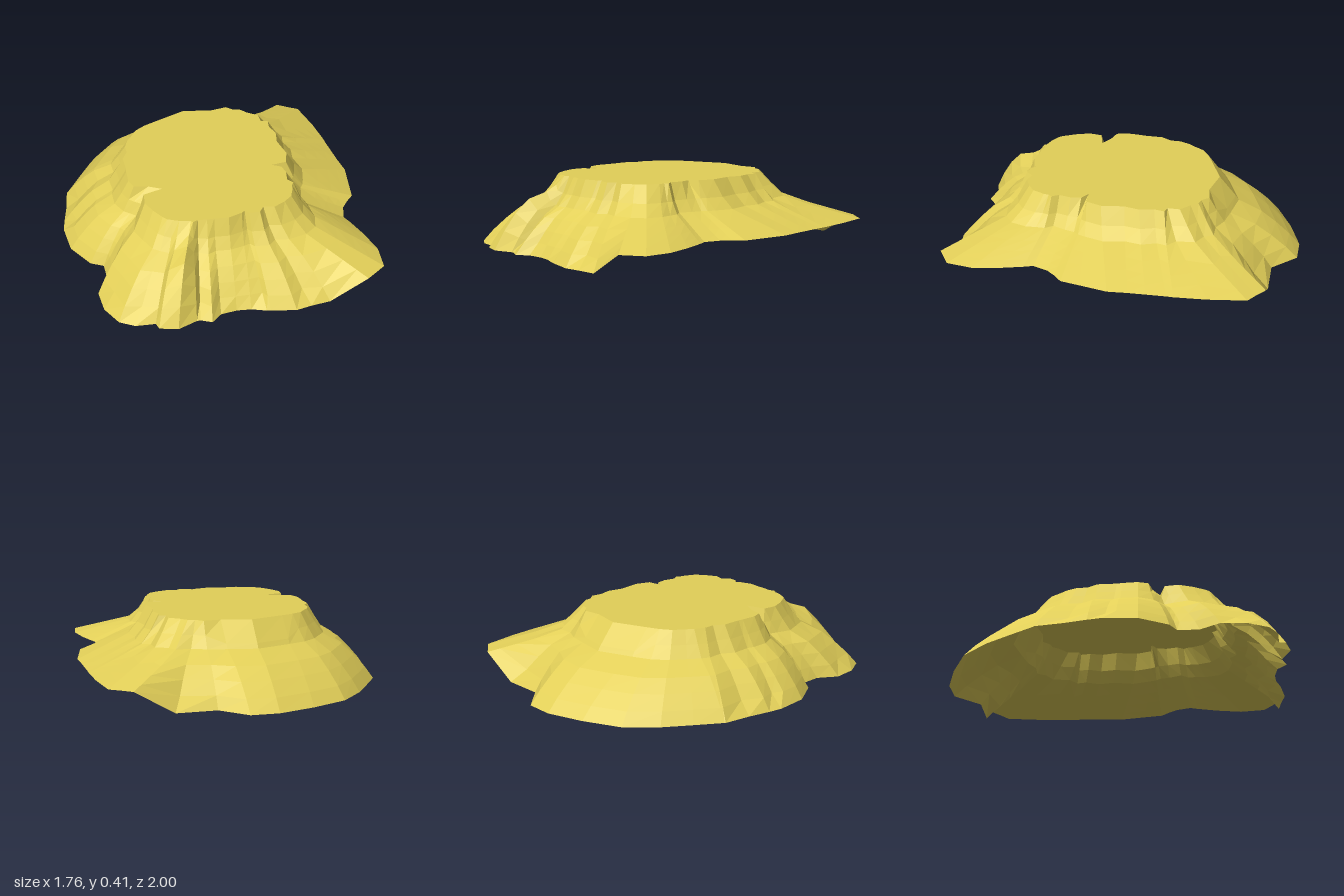
import * as THREE from 'three';

// Outline of the foot and of the plateau edge as x, z pairs, one pair per column,
// running left -> front -> right -> back.
const FOOT = [
  -.885, -.02, -.88, .05, -.87, .17, -.78, .33, -.71, .37, -.71, .40, -.71, .49, -.78, .60,
  -.77, .74, -.71, .86, -.63, .91, -.52, .92, -.51, .96, -.41, .99, -.30, .95, -.28, .95,
  -.22, .98, -.16, .93, -.07, .92, .01, .93, .09, .96, .11, .965, .25, .995, .34, .98,
  .45, .97, .66, .98, .78, .90, .80, .75, .77, .60, .73, .47, .71, .42, .74, .33,
  .78, .28, .83, .23, .85, .12, .88, -.04, .87, -.15, .865, -.25, .86, -.36, .86, -.40,
  .845, -.58, .81, -.79, .75, -.83, .69, -.875, .47, -.87, .24, -.865, .10, -1, -.06, -1,
  -.27, -.93, -.48, -.83, -.62, -.68, -.72, -.53, -.81, -.39, -.815, -.385, -.84, -.23, -.87, -.10,
];
const EDGE = [
  -.50, .03, -.505, .06, -.51, .15, -.49, .21, -.41, .23, -.34, .27, -.45, .30, -.46, .38,
  -.43, .46, -.39, .53, -.37, .555, -.34, .57, -.31, .585, -.25, .60, -.24, .615, -.21, .60,
  -.16, .61, -.12, .61, -.04, .62, .04, .595, .06, .58, .08, .605, .14, .61, .17, .57,
  .23, .585, .30, .55, .35, .51, .38, .44, .385, .41, .40, .39, .375, .35, .39, .28,
  .38, .22, .33, .19, .42, .18, .45, .09, .43, -.04, .45, -.13, .43, -.21, .44, -.27,
  .40, -.28, .40, -.35, .34, -.40, .31, -.44, .27, -.45, .23, -.49, .13, -.475, -.04, -.51,
  -.24, -.43, -.31, -.40, -.37, -.36, -.41, -.30, -.44, -.26, -.465, -.20, -.465, -.14, -.50, -.08,
];
const TOP = 0.41;
const LIFT = 0.13; // the right-hand foot hangs above the ground

// Slope profiles: fraction of the way from foot to plateau, and height there.
// The back left is rounded, the front right has an apron under a steeper cliff.
const ROUNDED = [[0, 0], [.13, .068], [.30, .14], [.48, .205], [.76, .268], [.88, .335], [1, TOP]];
const CLIFF = [[0, 0], [.14, .065], [.30, .13], [.49, .195], [.73, .25], [.87, .315], [1, TOP]];
const LEDGE_RING = 5;

// Columns cut into the slope as gullies, and how deep
const GULLY = {
  0: .10, 8: .08, 10: .08, 15: .09, 17: .05, 20: .08, 23: .07,
  30: .06, 36: .04, 38: .08, 40: .07, 42: .10, 44: .09, 54: .09,
};
// Columns raised into the front spur, and how high
const SPUR = { 12: .04, 13: .09, 14: .03 };
// Small notches in the plateau edge: the slope below keeps to these x, z points instead
const NOTCH = { 4: [-.47, .235], 5: [-.43, .265], 32: [.395, .22], 33: [.405, .20] };
// Columns carrying the small rock ledge below the back edge
const LEDGE = [46, 47, 48];

function slopePoint(column, ring) {
  const { lerp, smoothstep } = THREE.MathUtils;
  const i = column % (FOOT.length / 2);
  const [footX, footZ] = FOOT.slice(i * 2, i * 2 + 2);
  const inner = ring > 0 && ring < ROUNDED.length - 1;
  const [edgeX, edgeZ] = (inner && NOTCH[i]) || EDGE.slice(i * 2, i * 2 + 2);

  const blend = smoothstep(footX + footZ, 0, 0.8);
  let t = lerp(ROUNDED[ring][0], CLIFF[ring][0], blend);
  let y = lerp(ROUNDED[ring][1], CLIFF[ring][1], blend);
  if (ring === LEDGE_RING && LEDGE.includes(i)) { t = .80; y = .295; }
  y += (SPUR[i] ?? 0) * 4 * t * (1 - t);
  if (inner) t += (GULLY[i] ?? 0) * (1 - t);
  y = Math.max(y, (footX > 0.6 ? LIFT : 0) + 0.165 * t);
  return [lerp(footX, edgeX, t), y, lerp(footZ, edgeZ, t)];
}

// Open skirt of flat facets between the rings
function slopeGeometry() {
  const positions = [];
  for (let ring = 0; ring < ROUNDED.length - 1; ring++) {
    for (let i = 0; i < FOOT.length / 2; i++) {
      const a = slopePoint(i, ring), b = slopePoint(i + 1, ring);
      const c = slopePoint(i + 1, ring + 1), d = slopePoint(i, ring + 1);
      positions.push(...a, ...b, ...c, ...a, ...c, ...d);
    }
  }
  const geometry = new THREE.BufferGeometry();
  geometry.setAttribute('position', new THREE.Float32BufferAttribute(positions, 3));
  geometry.computeVertexNormals();
  return geometry;
}

// Flat plateau filling the upper outline
function plateauGeometry() {
  const points = [];
  for (let i = 0; i < EDGE.length; i += 2) points.push(new THREE.Vector2(EDGE[i], -EDGE[i + 1]));
  return new THREE.ShapeGeometry(new THREE.Shape(points)).rotateX(-Math.PI / 2).translate(0, TOP, 0);
}

export function createModel() {
  const rock = new THREE.MeshStandardMaterial({ color: 0xe2cf58, side: THREE.DoubleSide });
  rock.name = 'ochre rock';

  const group = new THREE.Group();
  group.name = 'mesa';
  const addPart = (name, geometry) => {
    const mesh = new THREE.Mesh(geometry, rock);
    mesh.name = name;
    group.add(mesh);
  };
  addPart('rockySlope', slopeGeometry());
  addPart('plateau', plateauGeometry());
  return group;
}
